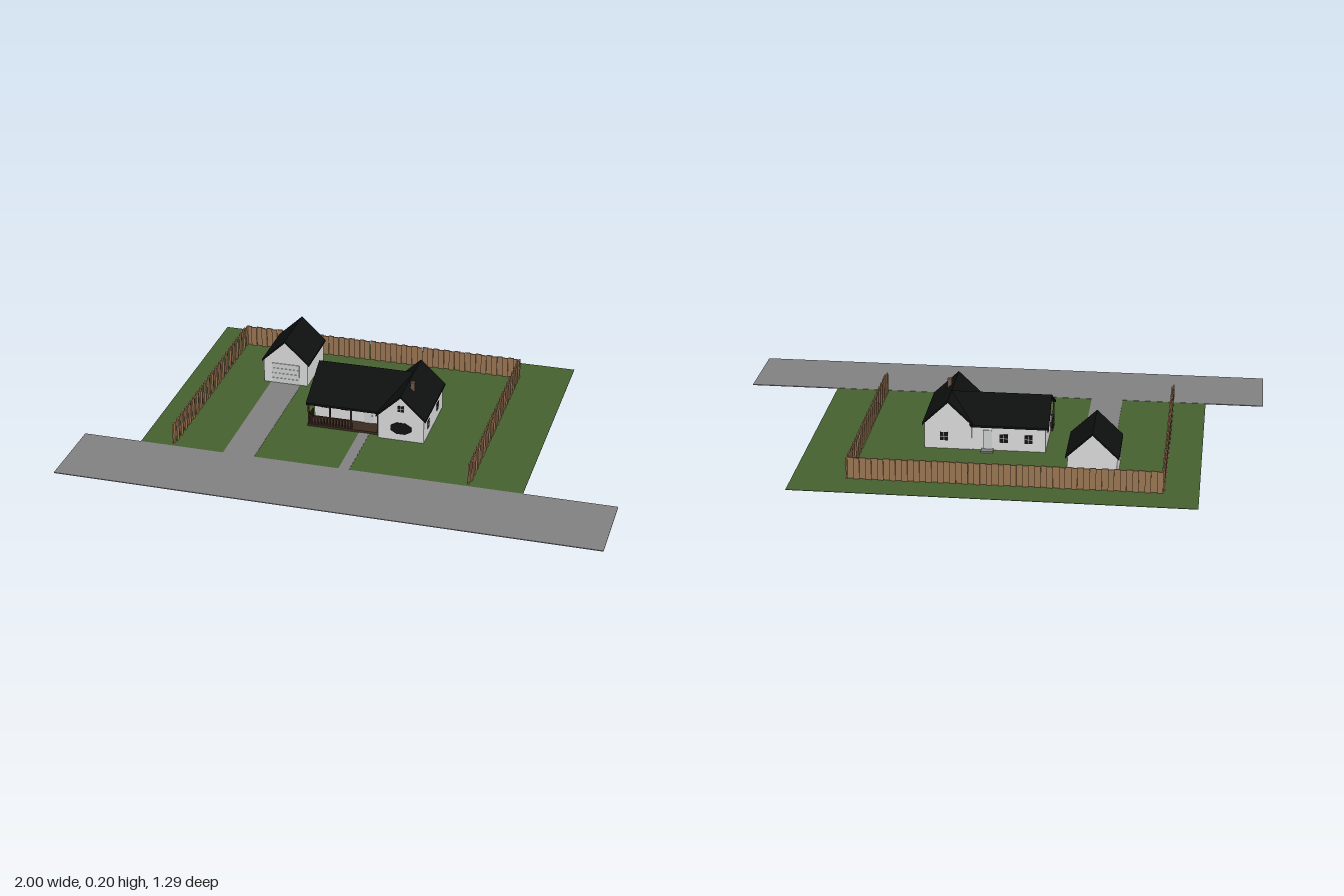
import * as THREE from 'three';

const mat = (name, color) => {
  const m = new THREE.MeshStandardMaterial({ color });
  m.name = name;
  return m;
};

export function createModel() {
  const M = {
    grass: mat('grass', 0x466030),
    paving: mat('paving', 0x808080),
    wall: mat('whiteWall', 0xdcdcdc),
    roof: mat('blackRoof', 0x0e0f0f),
    fence: mat('fenceWood', 0x9b7653),
    porch: mat('darkWood', 0x3b2a20),
    glass: mat('darkGlass', 0x111214),
    door: mat('paleDoor', 0xcfd1d1),
    brick: mat('chimneyBrick', 0x6e5548),
  };
  const root = new THREE.Group();
  root.name = 'houseAndYard';
  const group = (name) => {
    const g = new THREE.Group();
    g.name = name;
    root.add(g);
    return g;
  };
  const add = (parent, name, geometry, material) => {
    const m = new THREE.Mesh(geometry, material);
    m.name = name;
    parent.add(m);
    return m;
  };
  // box given by its limits on each axis
  const box = (parent, name, material, x0, x1, y0, y1, z0, z1) => {
    const m = add(parent, name, new THREE.BoxGeometry(x1 - x0, y1 - y0, z1 - z0), material);
    m.position.set((x0 + x1) / 2, (y0 + y1) / 2, (z0 + z1) / 2);
    return m;
  };
  const prism = (pts, a, b) => {
    const s = new THREE.Shape(pts.map((p) => new THREE.Vector2(p[0], p[1])));
    return new THREE.ExtrudeGeometry(s, { depth: b - a, bevelEnabled: false }).translate(0, 0, a);
  };
  // roof profile: left eave, ridge, right eave
  const roofGeo = (l, r, e, a, b, t = 0.008) => prism(
    [[l[0], l[1] - t], [r[0], r[1] - t], [e[0], e[1] - t], e, r, l], a, b);
  // gabled wall block whose top follows the roof slopes
  const wallGeo = (l, r, e, u0, u1, a, b) => {
    const at = (p, u) => p[1] + (r[1] - p[1]) * (u - p[0]) / (r[0] - p[0]) - 0.004;
    return prism([[u0, 0.002], [u1, 0.002], [u1, at(e, u1)], [r[0], r[1] - 0.004], [u0, at(l, u0)]], a, b);
  };

  // ground
  const ground = group('ground');
  box(ground, 'lawn', M.grass, -0.78, 0.66, 0.0006, 0.002, -0.65, 0.345);
  box(ground, 'road', M.paving, -1, 1, 0, 0.003, 0.345, 0.645);
  box(ground, 'driveway', M.paving, -0.46, -0.34, 0, 0.003, -0.235, 0.345);
  box(ground, 'frontPath', M.paving, -0.02, 0.02, 0, 0.003, 0.065, 0.345);
  box(ground, 'backStep', M.paving, -0.022, 0.022, 0, 0.008, -0.24, -0.21);

  // fence of boards set alternately on either side of the rail line
  const fenceRun = (name, length, x, z, angle) => {
    const g = group(name);
    const n = Math.round(length / 0.0215);
    const w = length / n;
    for (let i = 0; i < n; i++) {
      const u = -length / 2 + i * w;
      const d = i % 2 ? 0.0005 : -0.0055;
      box(g, 'board', M.fence, u, u + w, 0.002, 0.082, d, d + 0.005);
    }
    g.position.set(x, 0, z);
    g.rotation.y = angle;
  };
  fenceRun('backFence', 1.115, -0.0965, -0.525, 0);
  fenceRun('rightFence', 0.86, -0.654, -0.1, Math.PI / 2);
  fenceRun('leftFence', 0.86, 0.461, -0.1, -Math.PI / 2);

  // garage
  const garage = group('garage');
  const gl = [-0.495, 0.097], gr = [-0.4, 0.187], ge = [-0.305, 0.097];
  add(garage, 'garageWalls', wallGeo(gl, gr, ge, -0.488, -0.312, -0.455, -0.238), M.wall);
  add(garage, 'garageRoof', roofGeo(gl, gr, ge, -0.462, -0.232), M.roof);
  for (let i = 0; i < 4; i++) {
    box(garage, 'garageDoorPanel', M.door, -0.455, -0.345, 0.003 + i * 0.021, 0.023 + i * 0.021, -0.239, -0.235);
  }

  // main house, ridge running across
  const house = group('house');
  const ml = [-0.07, 0.1], mr = [0.11, 0.19], me = [0.22, 0.1];
  add(house, 'mainWalls', wallGeo(ml, mr, me, 0, 0.21, -0.212, 0.1).rotateY(Math.PI / 2), M.wall);
  const mainRoof = roofGeo(ml, mr, me, -0.225, 0.145);
  // cut the inner end along the valleys
  const p = mainRoof.attributes.position;
  for (let i = 0; i < p.count; i++) {
    if (p.getZ(i) > 0) p.setZ(i, Math.abs(p.getX(i) - 0.11) < 0.001 ? 0.145 : 0.06);
  }
  mainRoof.computeVertexNormals();
  add(house, 'mainRoof', mainRoof.rotateY(Math.PI / 2), M.roof);

  // side wing, ridge running front to back
  const wl = [0.05, 0.1], wr = [0.145, 0.19], we = [0.24, 0.1];
  add(house, 'wingWalls', wallGeo(wl, wr, we, 0.058, 0.232, -0.212, 0.084), M.wall);
  add(house, 'wingRoof', roofGeo(wl, wr, we, -0.218, 0.094), M.roof);
  box(house, 'chimney', M.brick, 0.157, 0.173, 0.13, 0.2, -0.02, -0.004);

  // windows: thin pane with crossed bars, facing along +z before turning
  const window = (x, y, z, w, h, angle = 0) => {
    const g = new THREE.Group();
    g.name = 'window';
    box(g, 'pane', M.glass, -w / 2, w / 2, -h / 2, h / 2, -0.001, 0.002);
    box(g, 'uprightBar', M.wall, -0.001, 0.001, -h / 2, h / 2, 0, 0.003);
    box(g, 'crossBar', M.wall, -w / 2, w / 2, -0.001, 0.001, 0, 0.003);
    g.position.set(x, y, z);
    g.rotation.y = angle;
    house.add(g);
  };
  for (const x of [-0.175, -0.095]) window(x, 0.07, 0, 0.026, 0.036);
  window(0.145, 0.133, 0.084, 0.024, 0.024);
  for (const x of [0.16, -0.06, -0.15]) window(x, 0.05, -0.212, 0.03, 0.032, Math.PI);
  for (const z of [0.015, -0.13]) window(0.232, 0.05, z, 0.028, 0.03, Math.PI / 2);
  window(-0.212, 0.06, -0.11, 0.028, 0.03, -Math.PI / 2);
  const bay = add(house, 'bigFrontWindow',
    new THREE.CylinderGeometry(1, 1, 0.005, 8).rotateY(Math.PI / 8).rotateX(Math.PI / 2), M.glass);
  bay.scale.set(0.043, 0.025, 1);
  bay.position.set(0.145, 0.052, 0.084);

  // doors
  box(house, 'frontDoor', M.door, -0.018, 0.018, 0.01, 0.085, -0.001, 0.003);
  box(house, 'frontDoorKnob', M.glass, 0.011, 0.014, 0.043, 0.046, 0.002, 0.006);
  box(house, 'backDoor', M.door, -0.016, 0.016, 0.008, 0.08, -0.215, -0.211);

  // porch
  const porch = group('porch');
  box(porch, 'porchFloor', M.porch, -0.22, 0.058, 0.002, 0.011, 0, 0.066);
  for (const x of [-0.217, -0.135, -0.052, 0.052]) {
    box(porch, 'post', M.porch, x - 0.003, x + 0.003, 0.01, 0.1, 0.057, 0.063);
  }
  box(porch, 'frontRail', M.porch, -0.217, -0.052, 0.041, 0.046, 0.058, 0.062);
  box(porch, 'sideRail', M.porch, -0.219, -0.215, 0.041, 0.046, 0, 0.06);
  for (let i = 1; i < 14; i++) {
    const x = -0.217 + i * 0.0118;
    box(porch, 'frontBaluster', M.porch, x - 0.0025, x + 0.0025, 0.01, 0.042, 0.058, 0.062);
  }
  for (let i = 0; i < 5; i++) {
    const z = 0.004 + i * 0.0118;
    box(porch, 'sideBaluster', M.porch, -0.219, -0.215, 0.01, 0.042, z - 0.0025, z + 0.0025);
  }
  return root;
}
